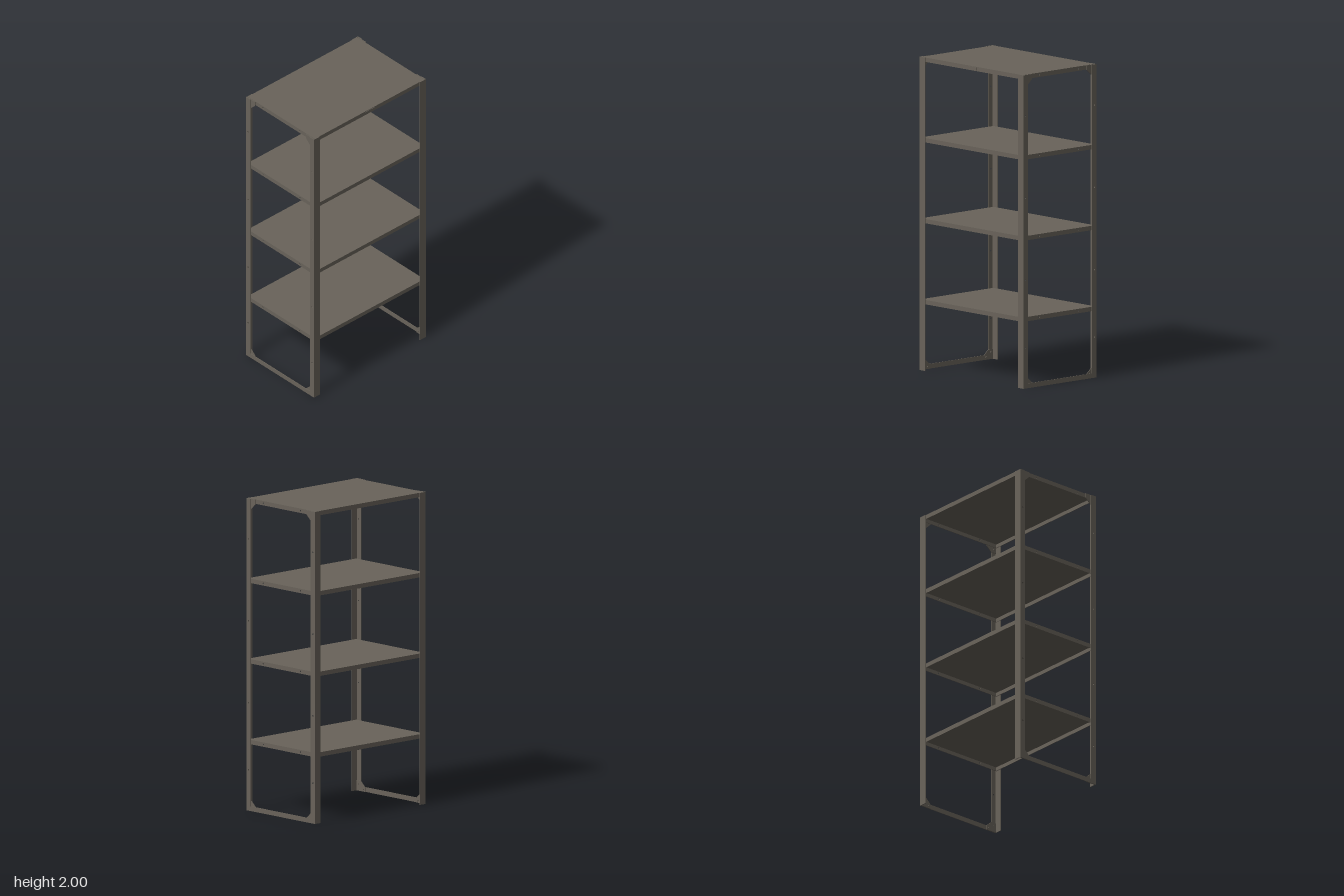
import * as THREE from 'three';

export function createModel() {
  const root = new THREE.Group();
  root.name = 'shelvingUnit';
  const steel = new THREE.MeshStandardMaterial({ color: 0x69635a });
  steel.name = 'grey brown steel';

  const X = 0.48, Z = 0.314, H = 2, T = 0.004; // outer half sizes, height, sheet thickness
  const SX = 0.469, SZ = 0.31, LIP = 0.028;    // shelf half sizes and lip height

  const add = (parent, name, geo) => {
    const mesh = new THREE.Mesh(geo, steel);
    mesh.name = name;
    parent.add(mesh);
    return mesh;
  };
  // Box given by its min and max corners
  const box = (parent, name, x0, x1, y0, y1, z0, z1) =>
    add(parent, name, new THREE.BoxGeometry(x1 - x0, y1 - y0, z1 - z0))
      .position.set((x0 + x1) / 2, (y0 + y1) / 2, (z0 + z1) / 2);
  // Upright sheet from a (z, y) outline, its outer face at x, with round holes
  const sidePlate = (parent, name, points, x, holes = []) => {
    const shape = new THREE.Shape(points.map(([z, y]) => new THREE.Vector2(z, y)));
    for (const [z, y] of holes) {
      shape.holes.push(new THREE.Path().absarc(z, y, 0.005, 0, Math.PI * 2, true));
    }
    const geo = new THREE.ExtrudeGeometry(shape, { depth: T, bevelEnabled: false, curveSegments: 5 });
    add(parent, name, geo.rotateY(-Math.PI / 2).translate(x, 0, 0));
  };
  const rect = (z0, z1, y0, y1) => [[z0, y0], [z1, y0], [z1, y1], [z0, y1]];

  // Shelves: open trays with turned-down lips
  for (const top of [0.453, 0.97, 1.486, 2]) {
    const shelf = new THREE.Group();
    shelf.name = 'shelf';
    const low = top - LIP;
    box(shelf, 'shelfTop', -SX, SX, top - T, top, -SZ, SZ);
    for (const s of [-1, 1]) {
      const z = s * (SZ - T / 2);
      box(shelf, 'longLip', -SX, SX, low, top - T, z - T / 2, z + T / 2);
      const holes = [[-0.17, top - 0.014], [0.17, top - 0.014]];
      sidePlate(shelf, 'endLip', rect(-SZ + T, SZ - T, low, top - T), s > 0 ? SX : -SX + T, holes);
    }
    root.add(shelf);
  }

  // Small plate in the middle of the top shelf's front edge
  box(root, 'frontPlate', -0.04, 0.04, 1.977, 1.996, SZ, SZ + 0.003);

  for (const sx of [-1, 1]) {
    const frame = new THREE.Group();
    frame.name = sx > 0 ? 'leftFrame' : 'rightFrame';
    const outer = sx > 0 ? X : -X + T;
    const inner = sx > 0 ? X - T : -X + 2 * T;

    // Bottom rail
    sidePlate(frame, 'bottomRail', rect(-0.275, 0.275, 0, 0.03), outer);

    for (const sz of [-1, 1]) {
      // L-shaped post: a front or back flange and a drilled side flange
      const fx = sx * (X - 0.025), fz = sz * (Z - T / 2);
      box(frame, 'postFace', fx - 0.025, fx + 0.025, 0, H, fz - T / 2, fz + T / 2);
      sidePlate(frame, 'postSide', rect(sz * 0.275, sz * (Z - T), 0, H), outer,
        [0.26, 0.69, 1.215, 1.74].map((y) => [sz * 0.295, y]));

      // Corner gussets at foot and top, each with two bolts
      for (const flip of [false, true]) {
        const h = (y) => (flip ? H - y : y);
        const outline = [[SZ, 0], [0.235, 0], [0.235, 0.03], [0.272, 0.064], [SZ, 0.064]];
        sidePlate(frame, 'gusset', outline.map(([z, y]) => [sz * z, h(y)]), inner);
        for (const [z, y] of [[0.292, 0.045], [0.25, 0.015]]) {
          const bolt = new THREE.CylinderGeometry(0.006, 0.006, 0.008, 6).rotateZ(Math.PI / 2);
          add(frame, 'bolt', bolt).position.set(sx * 0.47, h(y), sz * z);
        }
      }
    }
    root.add(frame);
  }
  return root;
}
